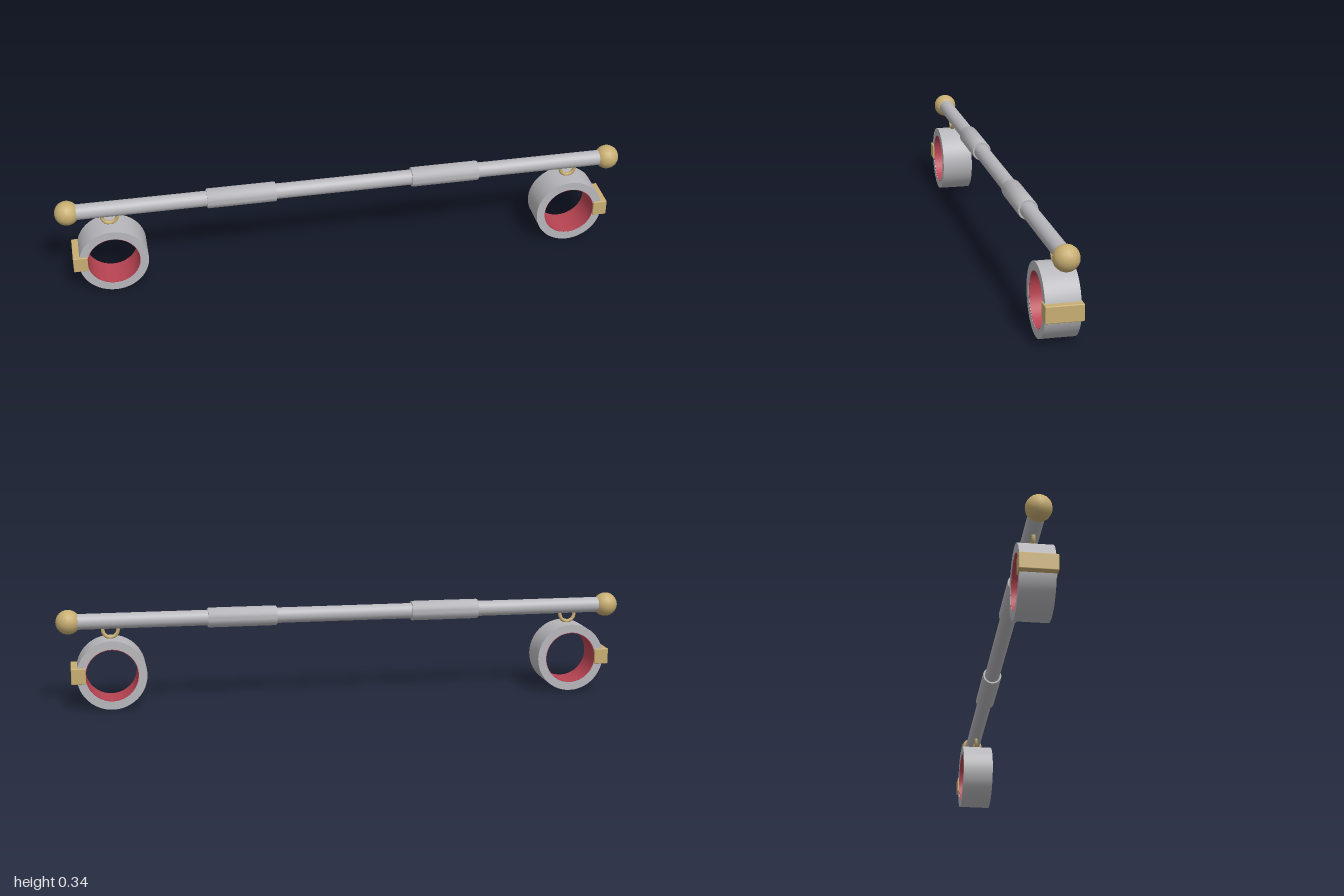
import * as THREE from 'three';
import { toCreasedNormals } from 'three/addons/utils/BufferGeometryUtils.js';
import { RoundedBoxGeometry } from 'three/addons/geometries/RoundedBoxGeometry.js';

const BAR_Y = 0.3, CUFF_X = 0.815, CUFF_Y = 0.12;

// Extruded annulus along z, centred on the origin
function annulus(outer, inner, width) {
  const shape = new THREE.Shape().absarc(0, 0, outer, 0, Math.PI * 2);
  shape.holes.push(new THREE.Path().absarc(0, 0, inner, 0, Math.PI * 2, true));
  const geo = new THREE.ExtrudeGeometry(shape, { depth: width, bevelEnabled: false, curveSegments: 24 });
  geo.translate(0, 0, -width / 2);
  return toCreasedNormals(geo, 0.6);
}

export function createModel() {
  const model = new THREE.Group();
  const material = (name, color) => {
    const m = new THREE.MeshStandardMaterial({ color });
    m.name = name;
    return m;
  };
  const steel = material('steel', 0xb8b8bc);
  const brass = material('brass', 0xc8ae72);
  const red = material('red lining', 0xb84452);

  const add = (parent, name, geo, mat, x, y, z = 0) => {
    const mesh = new THREE.Mesh(geo, mat);
    mesh.name = name;
    mesh.position.set(x, y, z);
    parent.add(mesh);
    return mesh;
  };

  // Long bar
  const rod = new THREE.CylinderGeometry(0.027, 0.027, 1.9, 32).rotateZ(Math.PI / 2);
  add(model, 'bar', rod, steel, 0, BAR_Y);

  // Shared shapes for both ends
  const sleeve = toCreasedNormals(new THREE.LatheGeometry([
    [0.026, -0.12], [0.033, -0.12], [0.0345, -0.117],
    [0.0345, 0.117], [0.033, 0.12], [0.026, 0.12],
  ].map(([r, y]) => new THREE.Vector2(r, y)), 32), 0.5).rotateZ(Math.PI / 2);
  const ball = new THREE.SphereGeometry(0.0425, 16, 12);
  const cuff = annulus(0.12, 0.091, 0.113);
  const lining = annulus(0.0912, 0.089, 0.111);
  const clasp = new RoundedBoxGeometry(0.05, 0.056, 0.123, 2, 0.003);
  const link = new THREE.TorusGeometry(0.026, 0.0065, 10, 28);

  for (const side of [1, -1]) {
    const end = new THREE.Group();
    end.name = side > 0 ? 'leftEnd' : 'rightEnd';
    add(end, 'sleeve', sleeve, steel, side * 0.36, BAR_Y);
    add(end, 'endBall', ball, brass, side * 0.9575, BAR_Y);
    add(end, 'hangingLink', link, brass, side * CUFF_X, 0.269);
    add(end, 'cuff', cuff, steel, side * CUFF_X, CUFF_Y);
    add(end, 'cuffLining', lining, red, side * CUFF_X, CUFF_Y);
    add(end, 'clasp', clasp, brass, side * 0.929, 0.121);
    model.add(end);
  }
  return model;
}
